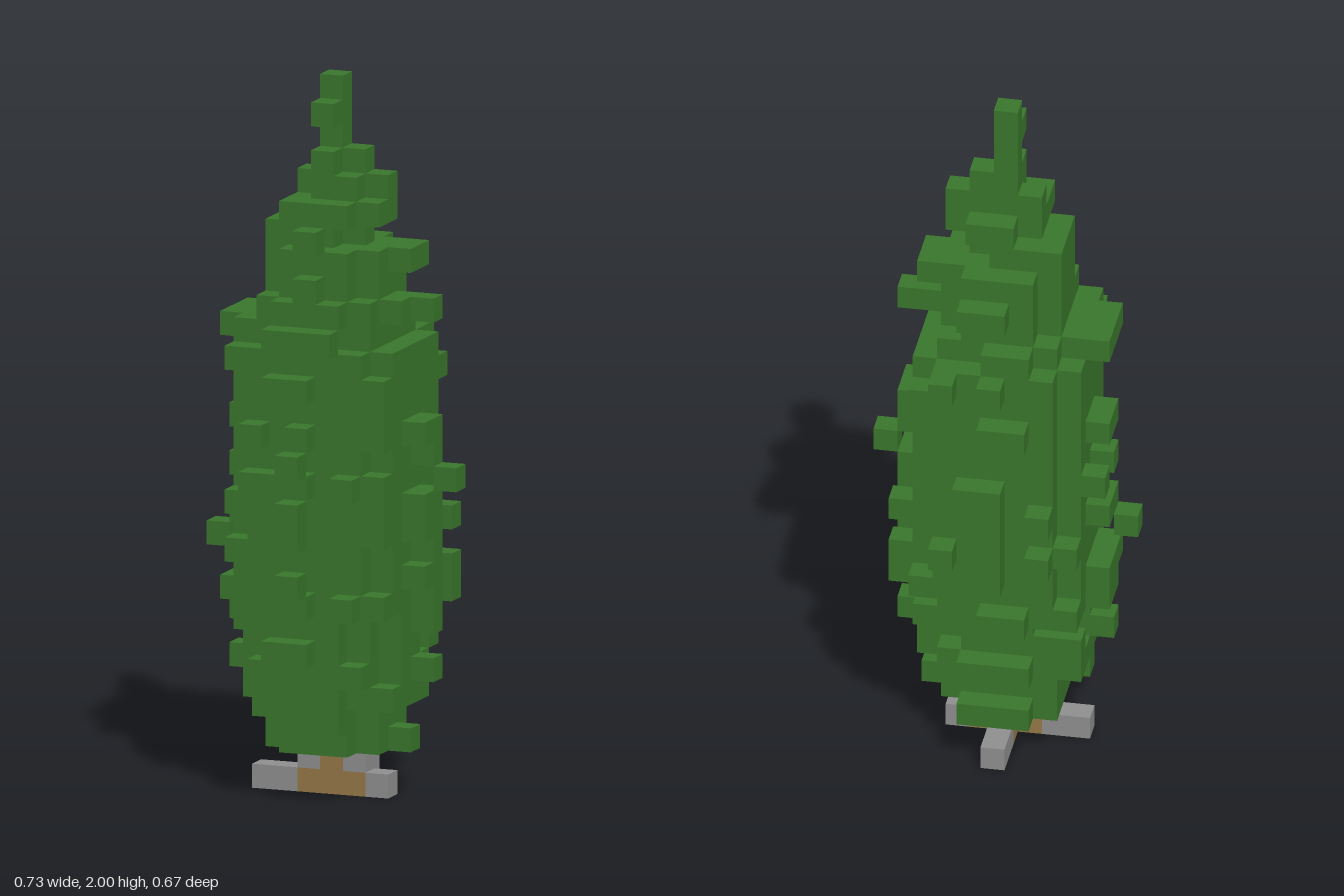
import * as THREE from 'three';
import { mergeGeometries } from 'three/addons/utils/BufferGeometryUtils.js';

const U = 2 / 30; // edge of one block

// Foliage reach per layer, from layer 2 up: [x min, x max, z min, z max] in blocks
const REACH = [
  [-2, 3, -4, 1], [-3, 2, -3, 2], [-3, 3, -4, 2], [-4, 4, -3, 2],
  [-3, 3, -3, 3], [-4, 4, -5, 2], [-4, 4, -4, 3], [-3, 4, -5, 4],
  [-5, 4, -5, 2], [-4, 4, -5, 4], [-3, 4, -5, 4], [-4, 5, -5, 3],
  [-3, 4, -4, 4], [-4, 4, -4, 3], [-3, 3, -5, 2], [-3, 3, -4, 3],
  [-3, 3, -5, 2], [-4, 2, -4, 3], [-2, 4, -3, 2], [-2, 2, -4, 2],
  [-2, 3, -3, 1], [-2, 1, -2, 0], [-1, 2, -2, 1], [-1, 2, -1, 0],
  [0, 1, -1, 0], [0, 0, -1, -1], [0, 0, -1, 0], [0, 0, -1, -1],
];
// Widest half width of each z row, from z = -5 to z = 4
const ROW = [2, 3, 4, 4, 5, 4, 3, 3, 2, 0];

// Face directions as rotations of a plane that faces +z
const FACES = [
  [0, 0, 1, 0, 0], [0, 0, -1, 0, Math.PI],
  [1, 0, 0, 0, Math.PI / 2], [-1, 0, 0, 0, -Math.PI / 2],
  [0, 1, 0, -Math.PI / 2, 0], [0, -1, 0, Math.PI / 2, 0],
];

const key = (x, y, z) => `${x},${y},${z}`;

function seeded(seed) {
  return () => {
    seed = (seed * 1664525 + 1013904223) % 4294967296;
    return seed / 4294967296;
  };
}

// Quarter ellipses with a different radius on each side of the trunk axis
function inside(x, dz, [x0, x1, z0, z1], cap, pad) {
  const rx = Math.min(cap, x < 0 ? -x0 : x1) + pad;
  const rz = Math.min(cap, dz < 0 ? -1 - z0 : z1 + 1) + pad;
  return (x / rx) ** 2 + (dz / rz) ** 2 <= 1;
}

function foliageBlocks() {
  const random = seeded(11);
  const cells = new Map();
  const add = (x, y, z) => cells.set(key(x, y, z), [x, y, z]);
  REACH.forEach((reach, i) => {
    const y = i + 2;
    const [x0, x1, z0, z1] = reach;
    const cap = y < 4 || y > 19 ? 2 : 3;
    const fullness = y > 7 && y < 19 ? 0.65 : 0.3;
    const sprigPad = y < 7 ? 1.2 : 1.6;
    // Sprigs keep clear of the twig tips that stand free
    const left = x0 === -5 ? -3 : x0;
    const right = x1 === 5 ? 3 : x1;
    const front = z1 === 4 ? 2 : z1;
    // Solid core with scattered sprigs around it
    for (let z = z0; z <= front; z++) {
      for (let x = left; x <= right; x++) {
        const sprig = random() < 0.36 && y < 25;
        if (Math.abs(x) > ROW[z + 5]) continue;
        if (inside(x, z + 1, reach, cap, fullness) ||
            (sprig && inside(x, z + 1, reach, cap, sprigPad))) add(x, y, z);
      }
    }
    // Twigs on the four sides, out to their tips
    for (let d = cap; d <= 4; d++) {
      if (d <= right) add(d, y, -1);
      if (d <= -left) add(-d, y, -1);
      if (d <= -1 - z0) add(0, y, -1 - d);
      if (d <= front + 1) add(0, y, d - 1);
    }
    add(x0, y, -1);
    add(x1, y, -1);
    add(0, y, z0);
    add(0, y, z1);
  });
  add(0, 23, 2);
  return [...cells.values()];
}

// Mesh of the open faces of a set of blocks
function blockMesh(name, cells, filled, material) {
  const faces = [];
  for (const [x, y, z] of cells) {
    for (const [dx, dy, dz, rx, ry] of FACES) {
      if (filled.has(key(x + dx, y + dy, z + dz))) continue;
      const face = new THREE.PlaneGeometry(U, U);
      face.rotateX(rx).rotateY(ry);
      face.translate((x + dx / 2) * U, (y + 0.5 + dy / 2) * U, (z + 0.5 + dz / 2) * U);
      faces.push(face);
    }
  }
  const mesh = new THREE.Mesh(mergeGeometries(faces), material);
  mesh.name = name;
  return mesh;
}

export function createModel() {
  const paint = (name, color) => {
    const material = new THREE.MeshStandardMaterial({ color });
    material.name = name;
    return material;
  };

  const parts = [
    ['foliage', foliageBlocks(), paint('leaf green', 0x3a772c)],
    // Trunk foot with root flare
    ['trunk', [[0, 1, -1], [-1, 0, -1], [0, 0, -1], [1, 0, -1], [0, 0, -2]],
      paint('bark brown', 0x967948)],
    // Stone arms around the trunk
    ['stoneBase', [[-3, 0, -1], [-2, 0, -1], [2, 0, -1], [0, 0, -3], [0, 0, -4],
      [-1, 1, -1], [1, 1, -1], [0, 1, -2]], paint('stone grey', 0x909090)],
  ];

  const filled = new Set(parts.flatMap(([, cells]) => cells.map((c) => key(...c))));
  const group = new THREE.Group();
  group.name = 'coniferTree';
  for (const [name, cells, material] of parts) {
    group.add(blockMesh(name, cells, filled, material));
  }
  return group;
}
